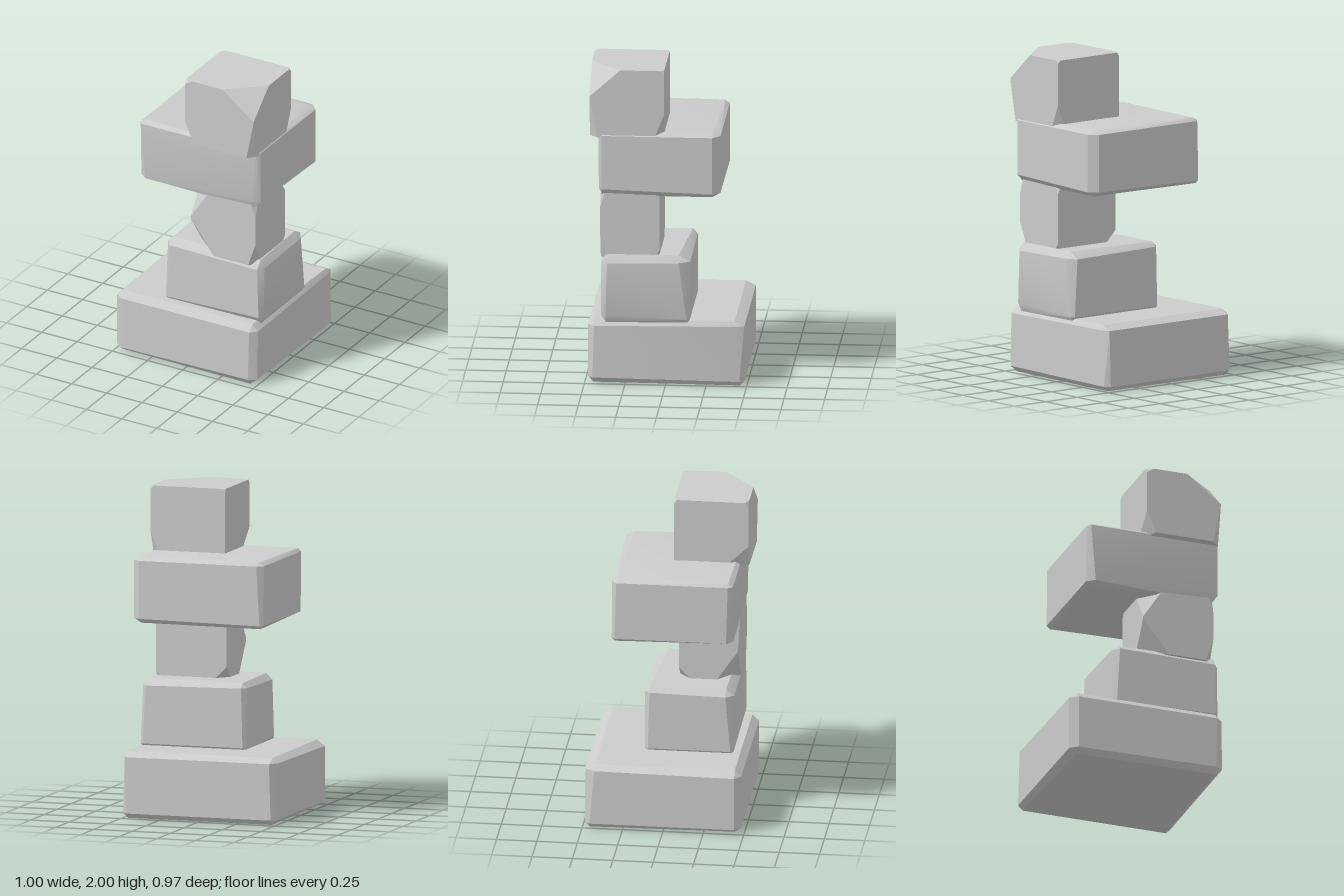
import * as THREE from 'three';
import { ConvexGeometry } from 'three/addons/geometries/ConvexGeometry.js';
import { toCreasedNormals } from 'three/addons/utils/BufferGeometryUtils.js';

const material = new THREE.MeshStandardMaterial({ color: 0xcccccc });

// Rough-hewn block: each corner is cut by [dx, dy, dz].
// 'bevel' also takes the edges off; 'chip' only slices the corner.
function block(name, min, max, style, normalCut, cuts = {}) {
  const points = [];
  for (const sx of [-1, 1]) for (const sy of [-1, 1]) for (const sz of [-1, 1]) {
    const signs = [sx, sy, sz];
    const key = signs.map((s) => (s > 0 ? '+' : '-')).join('');
    const cut = cuts[key] || normalCut;
    for (let axis = 0; axis < 3; axis++) {
      const p = signs.map((s, i) => {
        const moved = style === 'bevel' ? i !== axis : i === axis;
        return (s > 0 ? max[i] : min[i]) - (moved ? s * cut[i] : 0);
      });
      points.push(new THREE.Vector3(...p));
    }
  }
  const mesh = new THREE.Mesh(toCreasedNormals(new ConvexGeometry(points), 0.45), material);
  mesh.name = name;
  return mesh;
}

export function createModel() {
  const group = new THREE.Group();
  group.name = 'stackedStones';

  // Keys give the corner as the signs of x, y and z.
  group.add(
    block('baseStone', [-0.5, 0, -0.485], [0.5, 0.41, 0.48], 'bevel', [0.03, 0.03, 0.03], {
      '-++': [0.05, 0.04, 0.04],
      '+++': [0.04, 0.04, 0.04],
      '-+-': [0.04, 0.03, 0.06],
      '++-': [0.02, 0.03, 0.06],
      '--+': [0.05, 0.03, 0.04],
      '+-+': [0.05, 0.04, 0.03],
    }),
    block('lowerStone', [-0.19, 0.39, -0.15], [0.5, 0.82, 0.4], 'bevel', [0.02, 0.03, 0.02], {
      '-++': [0.04, 0.04, 0.05],
      '+++': [0.03, 0.05, 0.04],
      '-+-': [0.03, 0.03, 0.03],
      '++-': [0.04, 0.04, 0.07],
      '+-+': [0.02, 0.05, 0.03],
    }),
    block('neckStone', [0, 0.79, 0.04], [0.46, 1.22, 0.405], 'chip', [0.04, 0.06, 0.04], {
      '-++': [0.13, 0.2, 0.14],
      '--+': [0.17, 0.22, 0.15],
      '---': [0.1, 0.1, 0.1],
      '+++': [0.03, 0.1, 0.03],
      '+-+': [0.05, 0.15, 0.07],
    }),
    block('wideStone', [-0.365, 1.19, -0.335], [0.49, 1.6, 0.415], 'bevel', [0.02, 0.02, 0.02], {
      '-++': [0.02, 0.02, 0.03],
      '--+': [0.05, 0.02, 0.04],
      '-+-': [0.04, 0.02, 0.03],
      '++-': [0.05, 0.02, 0.05],
      '+--': [0.05, 0.03, 0.05],
      '+-+': [0.05, 0.05, 0.02],
    }),
    block('topStone', [0, 1.57, 0.01], [0.485, 2, 0.47], 'chip', [0.02, 0.02, 0.02], {
      '+++': [0.22, 0.17, 0.19],
      '-++': [0.05, 0.03, 0.02],
      '--+': [0.06, 0.14, 0.15],
      '+-+': [0.05, 0.25, 0.05],
      '+--': [0.06, 0.15, 0.06],
    }),
  );
  return group;
}
